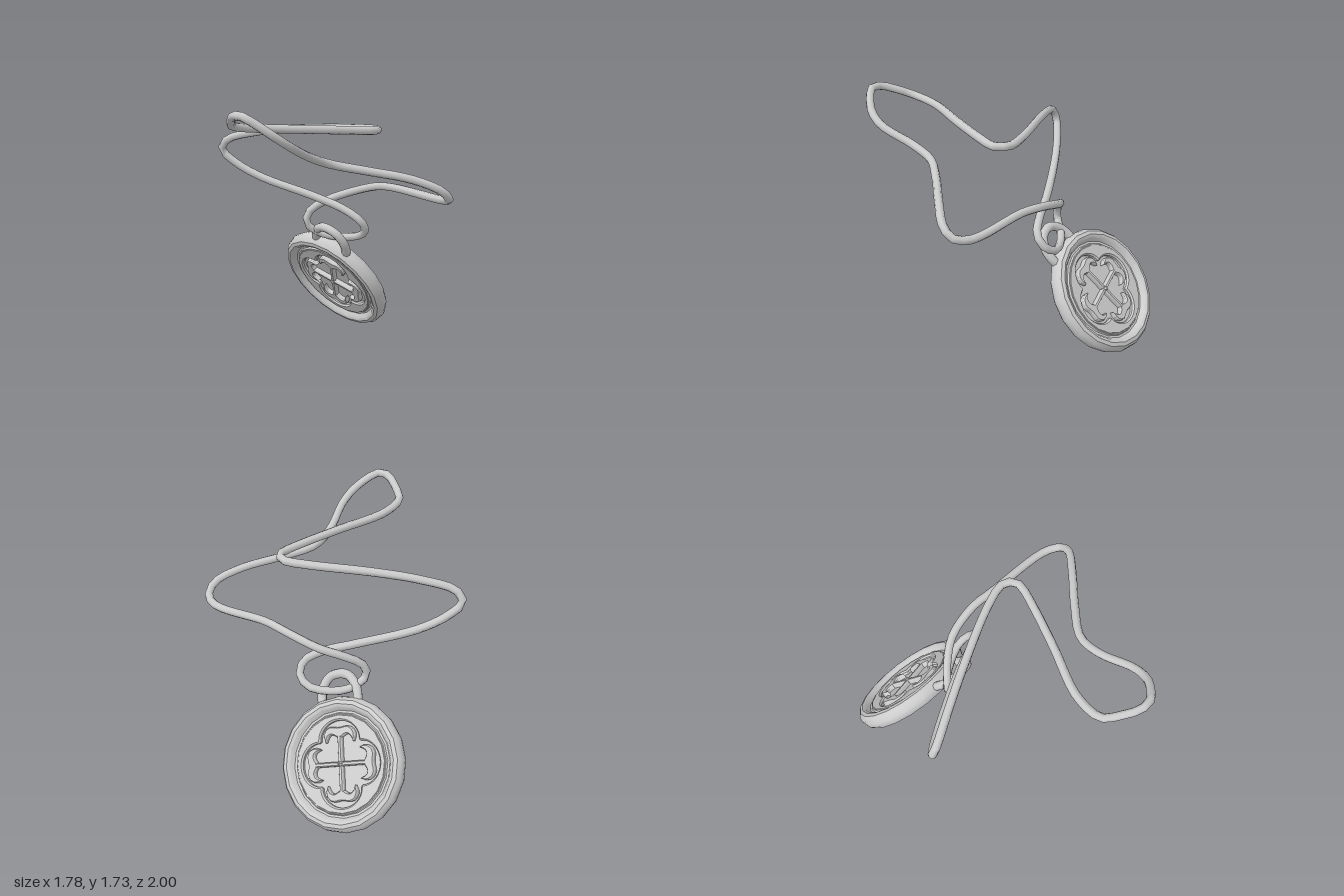
import * as THREE from 'three';
import { toCreasedNormals } from 'three/addons/utils/BufferGeometryUtils.js';

const material = new THREE.MeshStandardMaterial({ color: 0xcccccc });

function part(name, geometry, parent) {
  const mesh = new THREE.Mesh(geometry, material);
  mesh.name = name;
  parent.add(mesh);
  return mesh;
}

function tube(points, segments, radius, closed) {
  const curve = new THREE.CatmullRomCurve3(points.map((p) => new THREE.Vector3(...p)), closed, 'centripetal');
  return new THREE.TubeGeometry(curve, segments, radius, 8, closed);
}

// Four broad half-oval lobes, one at the end of each cross arm
function quatrefoil() {
  const path = new THREE.Path();
  for (let i = 0; i < 4; i++) {
    const a = i * Math.PI / 2;
    path.absellipse(Math.cos(a) * 0.155, Math.sin(a) * 0.155, 0.138, 0.152, -Math.PI / 2, Math.PI / 2, false, a);
  }
  return path;
}

// Hooked end of a cross arm: a crescent with tips turned back to the centre
function crescent() {
  const s = new THREE.Shape();
  s.moveTo(-0.1, 0.15);
  s.bezierCurveTo(-0.125, 0.205, -0.08, 0.25, -0.035, 0.236);
  s.quadraticCurveTo(0, 0.226, 0.035, 0.236);
  s.bezierCurveTo(0.08, 0.25, 0.125, 0.205, 0.1, 0.15);
  s.bezierCurveTo(0.09, 0.205, 0.05, 0.21, 0.015, 0.18);
  s.lineTo(-0.015, 0.18);
  s.bezierCurveTo(-0.05, 0.21, -0.09, 0.205, -0.1, 0.15);
  return s;
}

function reliefFace() {
  const face = new THREE.Group();

  // Recess floor and the plate pierced by the quatrefoil
  part('recessFloor', new THREE.CircleGeometry(0.32, 24), face).position.z = 0.006;
  const plateShape = new THREE.Shape().absarc(0, 0, 0.318, 0, Math.PI * 2);
  plateShape.holes.push(quatrefoil());
  const plate = new THREE.ExtrudeGeometry(plateShape, {
    depth: 0.026, curveSegments: 10, bevelThickness: 0.012, bevelSize: 0.01, bevelSegments: 1,
  });
  part('quatrefoilPlate', plate, face);

  // Raised cross with ridged arms and hooked ends
  const cross = new THREE.Group();
  cross.name = 'cross';
  face.add(cross);
  const ridge = { depth: 0.024, curveSegments: 6, bevelThickness: 0.012, bevelSize: 0.007, bevelSegments: 1 };
  const bar = new THREE.Shape([[-0.008, 0], [0.008, 0], [0.008, 0.2], [-0.008, 0.2]].map((p) => new THREE.Vector2(...p)));
  for (let i = 0; i < 4; i++) {
    const arm = new THREE.Group();
    arm.name = 'crossArm';
    arm.rotation.z = i * Math.PI / 2;
    arm.position.z = 0.006;
    cross.add(arm);
    part('armBar', new THREE.ExtrudeGeometry(bar, ridge), arm);
    part('armHook', new THREE.ExtrudeGeometry(crescent(), ridge), arm);
  }
  part('crossBoss', new THREE.OctahedronGeometry(0.035), cross).position.z = 0.025;
  return face;
}

function medallion() {
  const group = new THREE.Group();
  group.name = 'medallion';

  // Rounded rim with a stepped inner lip on both faces
  const half = [[0.3, 0.034], [0.328, 0.034], [0.335, 0.022], [0.35, 0.022], [0.372, 0.054], [0.392, 0.062], [0.418, 0.055], [0.437, 0.032]];
  const profile = [...half.map(([r, h]) => [r, -h]), [0.445, 0], ...half.reverse()];
  const rim = new THREE.LatheGeometry(profile.map((p) => new THREE.Vector2(...p)), 20).rotateX(Math.PI / 2);
  part('rim', toCreasedNormals(rim, 0.6), group);

  // The same relief on both sides
  for (const [name, turn] of [['frontRelief', 0], ['backRelief', Math.PI]]) {
    const face = reliefFace();
    face.name = name;
    face.rotation.y = turn;
    group.add(face);
  }

  // Bail that hooks over the cord
  part('bail', tube([
    [-0.13, 0.39, 0], [-0.132, 0.45, 0], [-0.115, 0.52, 0], [-0.065, 0.58, 0], [0, 0.595, 0],
    [0.065, 0.58, 0], [0.115, 0.52, 0], [0.132, 0.45, 0], [0.13, 0.39, 0],
  ], 24, 0.032, false), group);

  // Lean the disc back and to the side
  const f = new THREE.Vector3(-0.35, -0.575, 0.738).normalize();
  const up = new THREE.Vector3(0.17, 0.75, 0.63);
  up.addScaledVector(f, -up.dot(f)).normalize();
  const side = new THREE.Vector3().crossVectors(up, f);
  group.quaternion.setFromRotationMatrix(new THREE.Matrix4().makeBasis(side, up, f));
  group.position.set(-0.19, 0.375, -0.68);
  return group;
}

export function createModel() {
  const model = new THREE.Group();
  model.name = 'pendantNecklace';
  model.add(medallion());

  // Closed cord, starting at the forward tip and running round to it again
  part('cord', tube([
    [-0.16, 1.7, 0.967], [-0.23, 1.7, 0.935], [-0.3, 1.66, 0.83], [-0.34, 1.62, 0.73], [-0.26, 1.595, 0.55],
    [0, 1.575, 0.3], [0.2, 1.56, 0.1], [0.315, 1.55, -0.03], [0.332, 1.55, -0.08], [0.29, 1.55, -0.15],
    [0.12, 1.55, -0.18], [-0.3, 1.535, -0.175], [-0.6, 1.5, -0.16], [-0.82, 1.44, -0.15], [-0.865, 1.37, -0.165],
    [-0.78, 1.28, -0.195], [-0.6, 1.18, -0.23], [-0.2, 1.05, -0.275], [0.02, 0.97, -0.28], [0.14, 0.89, -0.295],
    [0.158, 0.82, -0.345], [0.09, 0.765, -0.4], [-0.1, 0.75, -0.4], [-0.22, 0.785, -0.365], [-0.283, 0.85, -0.325],
    [-0.26, 0.935, -0.335], [-0.14, 1.015, -0.38], [0.02, 1.075, -0.405], [0.24, 1.135, -0.345], [0.39, 1.145, -0.26],
    [0.8, 1.11, -0.05], [0.864, 1.135, 0.045], [0.83, 1.195, 0.115], [0.66, 1.27, 0.2], [0.4, 1.325, 0.31],
    [0.2, 1.37, 0.42], [0.12, 1.425, 0.57], [0.07, 1.52, 0.81], [0.01, 1.585, 0.9], [-0.08, 1.655, 0.95],
  ], 120, 0.028, true), model);

  return model;
}
